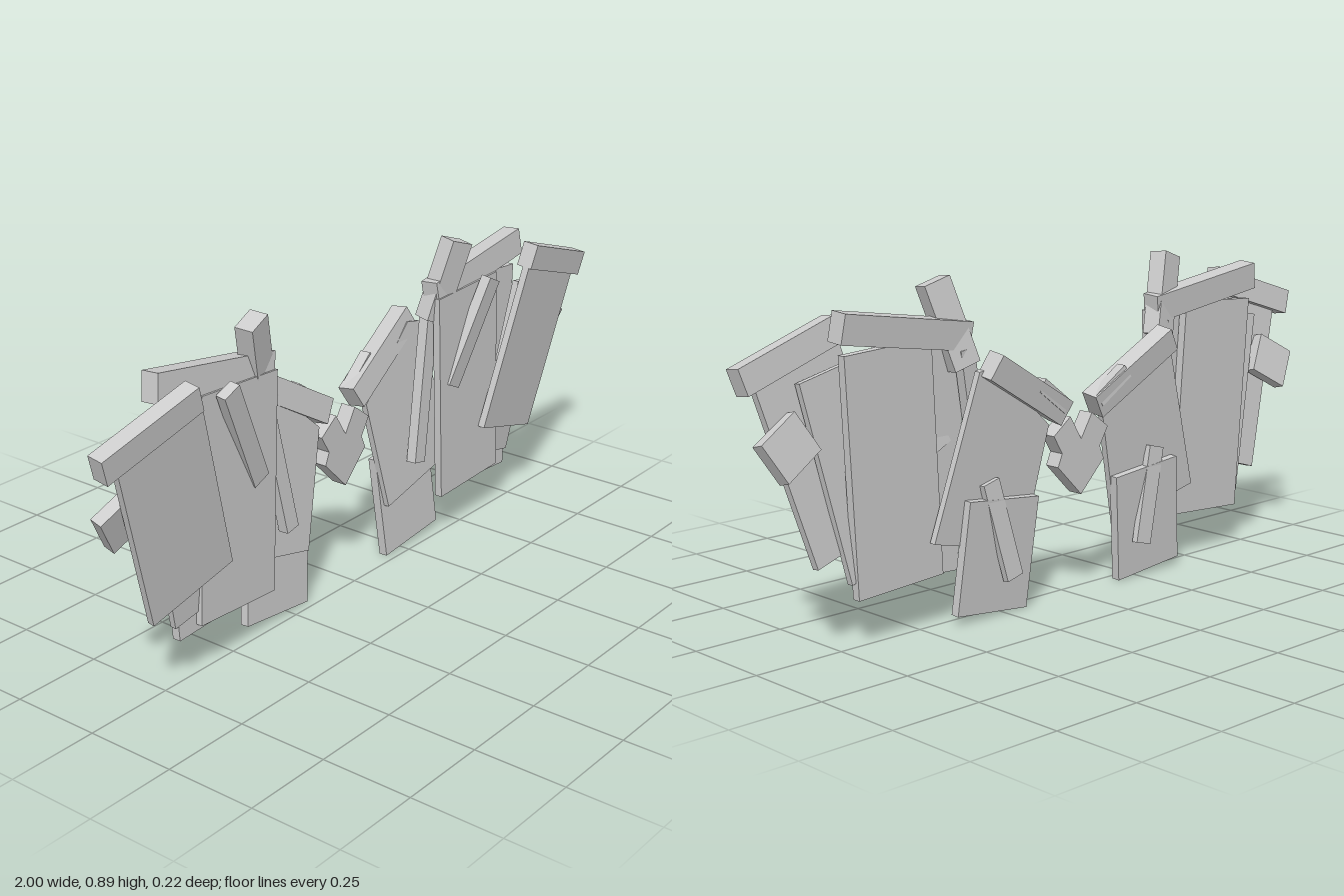
import * as THREE from 'three';

export function createModel() {
  const model = new THREE.Group();
  const stone = new THREE.MeshStandardMaterial({ color: 0xcccccc });
  stone.name = 'light grey';

  const add = (parent, name, geometry) => {
    const mesh = new THREE.Mesh(geometry, stone);
    mesh.name = name;
    parent.add(mesh);
    return mesh;
  };

  // Flat plate cut from an outline, centred on its own depth
  const plate = (points, depth) => {
    const shape = new THREE.Shape(points.map(([x, y]) => new THREE.Vector2(x, y)));
    return new THREE.ExtrudeGeometry(shape, { depth, bevelEnabled: false }).translate(0, 0, -depth / 2);
  };

  // name, centre, size, turn in the plane, forward tilt, yaw
  const slabs = [
    // Outer section
    ['outerBar', [0.839, 0.733, 0.067], [0.31, 0.07, 0.046], -0.31, 0.12, 0.04],
    ['outerPanel', [0.743, 0.481, 0.05], [0.275, 0.48, 0.02], -0.285, 0.11, 0.04],
    ['outerBackPanel', [0.7, 0.43, 0.024], [0.15, 0.52, 0.018], -0.22, 0.08, 0.03],
    ['outerBlock', [0.88, 0.523, 0.016], [0.13, 0.115, 0.035], -0.52, 0.25, 0.05],
    // Middle section
    ['middleBar', [0.545, 0.766, -0.007], [0.41, 0.075, 0.052], 0.148, -0.08, 0],
    ['middleBackPanel', [0.585, 0.432, -0.007], [0.27, 0.61, 0.024], -0.06, -0.015, 0],
    ['middleFrontPanel', [0.49, 0.435, 0.016], [0.275, 0.6, 0.022], 0.045, 0, 0],
    ['middleStrip', [0.48, 0.6, 0.034], [0.055, 0.32, 0.03], -0.45, 0.12, 0],
    ['spike', [0.392, 0.768, 0.002], [0.076, 0.23, 0.05], -0.32, 0.1, -0.2],
    // Inner section
    ['innerBar', [0.193, 0.588, -0.07], [0.31, 0.07, 0.052], 0.535, -0.15, 0],
    ['innerBarChip', [0.11, 0.56, -0.075], [0.12, 0.04, 0.03], 0.62, 0, 0.1],
    ['innerStrip', [0.318, 0.485, -0.01], [0.045, 0.45, 0.03], -0.19, -0.05, 0],
    ['lowerPanel', [0.28, 0.162, -0.045], [0.24, 0.3, 0.025], 0.1, -0.06, 0],
    ['lowerBackStrip', [0.275, 0.23, -0.062], [0.055, 0.27, 0.018], -0.25, 0.06, 0],
  ];

  // Two mirrored wings
  for (const side of [1, -1]) {
    const wing = new THREE.Group();
    wing.name = side > 0 ? 'leftWing' : 'rightWing';
    for (const [name, [x, y, z], size, turn, tilt, yaw] of slabs) {
      const slab = add(wing, name, new THREE.BoxGeometry(...size));
      slab.position.set(x * side, y, z);
      slab.rotation.set(tilt, yaw * side, turn * side, 'YXZ');
    }
    // Slanted inner panel, leaning back towards its top
    const outline = [[0.1, 0.48], [0.175, 0.155], [0.48, 0.225], [0.35, 0.65], [0.3, 0.66]];
    const inner = add(wing, 'innerPanel', plate(outline.map(([x, y]) => [x * side, y - 0.4]), 0.018));
    inner.position.set(0, 0.4, -0.042);
    inner.rotation.x = -0.068;
    model.add(wing);
  }

  // Forked centre piece joining the wings
  const half = [[0.085, 0.365], [0.07, 0.4], [0.1, 0.45], [0.04, 0.495]];
  const fork = [[0, 0.28], ...half, [0, 0.43], ...half.map(([x, y]) => [-x, y]).reverse()];
  add(model, 'centreFork', plate(fork, 0.045)).position.z = -0.053;

  return model;
}
